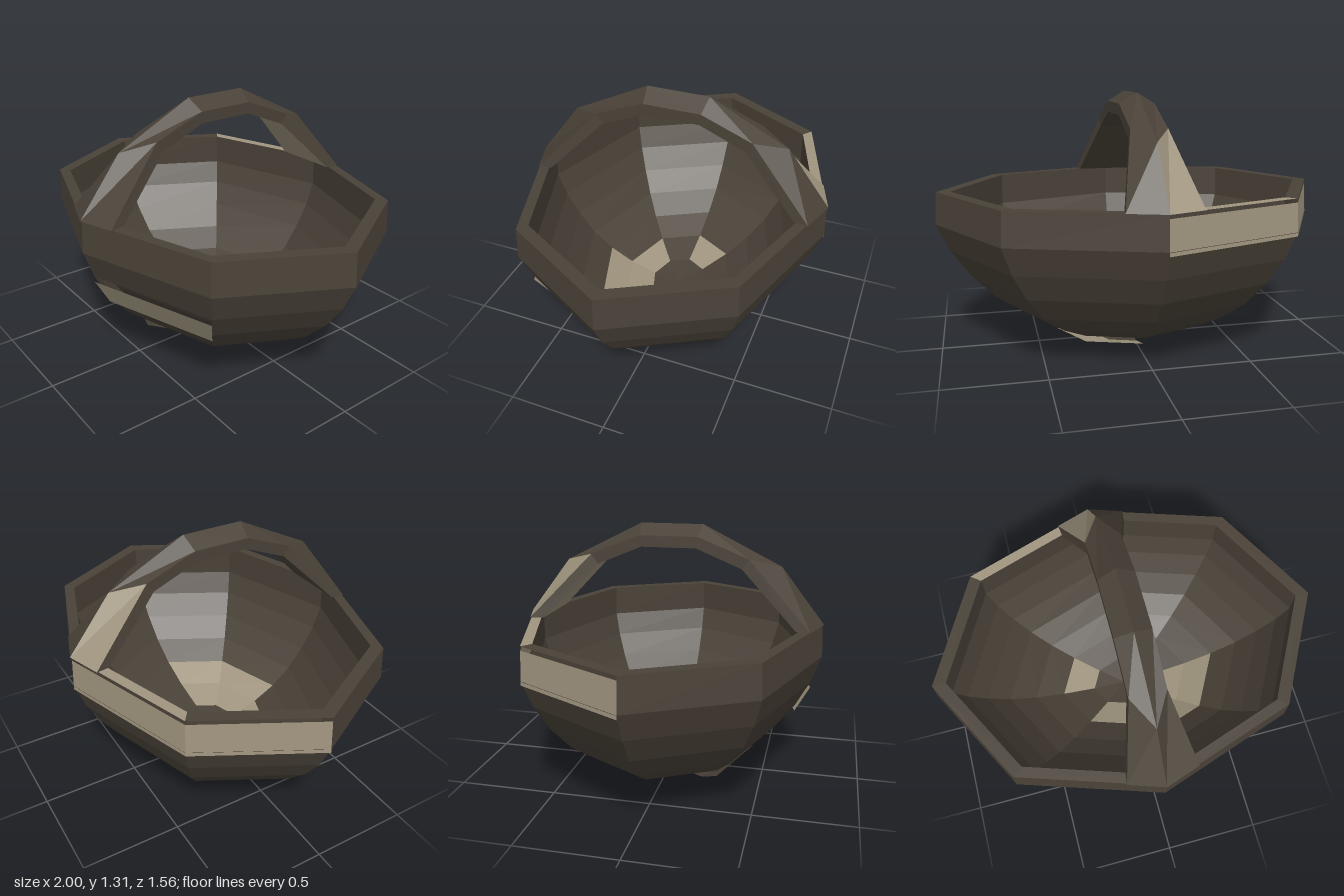
import * as THREE from 'three';

// Eight-sided plan of the basket at full width, starting at +x and turning toward +z
const PLAN = [[1, 0], [0.7, 0.55], [0, 0.78], [-0.7, 0.55], [-1, 0], [-0.7, -0.55], [0, -0.78], [0.7, -0.55]];
// Profiles from rim to base: [scale of the plan, height]
const OUTER = [[0.99, 0.825], [1, 0.66], [0.935, 0.52], [0.84, 0.385], [0.72, 0.263], [0.57, 0.165], [0.4, 0.092], [0.2, 0.047], [0, 0.03]];
const INNER = [[0.92, 0.825], [0.925, 0.66], [0.87, 0.54], [0.78, 0.42], [0.67, 0.31], [0.53, 0.22], [0.37, 0.155], [0.185, 0.11], [0, 0.09]];

const material = (color) => new THREE.MeshStandardMaterial({ color, flatShading: true, side: THREE.DoubleSide });

// Collects four-cornered faces, then turns them into one mesh
class Faces {
  constructor() { this.positions = []; }
  quad(a, b, c, d) { this.positions.push(...a, ...b, ...c, ...a, ...c, ...d); }
  mesh(name, mat) {
    const geometry = new THREE.BufferGeometry();
    geometry.setAttribute('position', new THREE.Float32BufferAttribute(this.positions, 3));
    geometry.computeVertexNormals();
    const mesh = new THREE.Mesh(geometry, mat);
    mesh.name = name;
    return mesh;
  }
}

const corner = ([scale, y], k, drop = 0) => [PLAN[k % 8][0] * scale, y - drop, PLAN[k % 8][1] * scale];

// Corners of one wall panel between two rings
const panel = (profile, k, ring, drop = 0) => [
  corner(profile[ring], k, drop), corner(profile[ring], k + 1, drop),
  corner(profile[ring + 1], k + 1, drop), corner(profile[ring + 1], k, drop),
];

export function createModel() {
  const group = new THREE.Group();
  group.name = 'basket';
  const dark = material(0x4a4238);
  const pale = material(0xa0957f);

  const outerWall = new Faces();
  const innerWall = new Faces();
  const rim = new Faces();
  const palePanels = new Faces();
  const loosePanels = new Faces();
  const handle = new Faces();
  const paleHandle = new Faces();

  // Panels that have slipped down, and panels of a paler shade, as "side:ring"
  const slipped = { '1:2': 0.03, '4:0': 0.02, '5:0': 0.02, '2:5': 0.03, '2:6': 0.03, '6:6': 0.03, '7:6': 0.03,
    '0:7': 0.03, '1:7': 0.03, '2:7': 0.03, '6:7': 0.03, '7:7': 0.03 };
  const paleOuter = ['1:2', '4:0', '5:0', '1:5', '6:6', '7:6'];
  const paleInner = ['0:5', '0:6', '1:5', '1:6', '2:6', '4:6'];

  // Bowl
  for (let k = 0; k < 8; k++) {
    for (let ring = 0; ring < OUTER.length - 1; ring++) {
      const key = `${k}:${ring}`;
      const drop = slipped[key] || 0;
      const outerTarget = paleOuter.includes(key) ? palePanels : drop ? loosePanels : outerWall;
      outerTarget.quad(...panel(OUTER, k, ring, drop));
      const innerTarget = paleInner.includes(key) ? palePanels : innerWall;
      innerTarget.quad(...panel(INNER, k, ring).reverse());
    }
    (k === 5 ? palePanels : rim).quad(
      corner(INNER[0], k), corner(INNER[0], k + 1), corner(OUTER[0], k + 1), corner(OUTER[0], k));
  }

  // Handle sections from front to back: ridge, side edge and inner edge as [half width, y, z]
  const half = [
    [[0, 0.825, 0.78], [0.18, 0.825, 0.72], [0.17, 0.825, 0.65]],
    [[0, 1.11, 0.56], [0.09, 1.155, 0.405], [0.09, 1.105, 0.37]],
    [[0, 1.31, 0.16], [0.09, 1.257, 0.147], [0.09, 1.2, 0.14]],
  ];
  const flip = (section) => section.map(([x, y, z]) => [x, y, -z]);
  const sections = [...half, ...half.slice().reverse().map(flip)];
  const loops = sections.map(([ridge, side, inner]) => {
    const mirror = ([x, y, z]) => [-x, y, z];
    return [ridge, side, inner, mirror(inner), mirror(side)];
  });
  for (let i = 0; i < loops.length - 1; i++) {
    for (let j = 0; j < 5; j++) {
      const n = (j + 1) % 5;
      // The last span has a pale outer half and a pale underside
      const target = i === 4 && (j === 4 || j === 2) ? paleHandle : handle;
      target.quad(loops[i][j], loops[i][n], loops[i + 1][n], loops[i + 1][j]);
    }
  }

  group.add(
    outerWall.mesh('outerWall', dark),
    innerWall.mesh('innerWall', dark),
    rim.mesh('rim', dark),
    loosePanels.mesh('loosePanels', dark),
    palePanels.mesh('palePanels', pale),
    handle.mesh('handle', dark),
    paleHandle.mesh('paleHandlePanels', pale),
  );
  return group;
}
